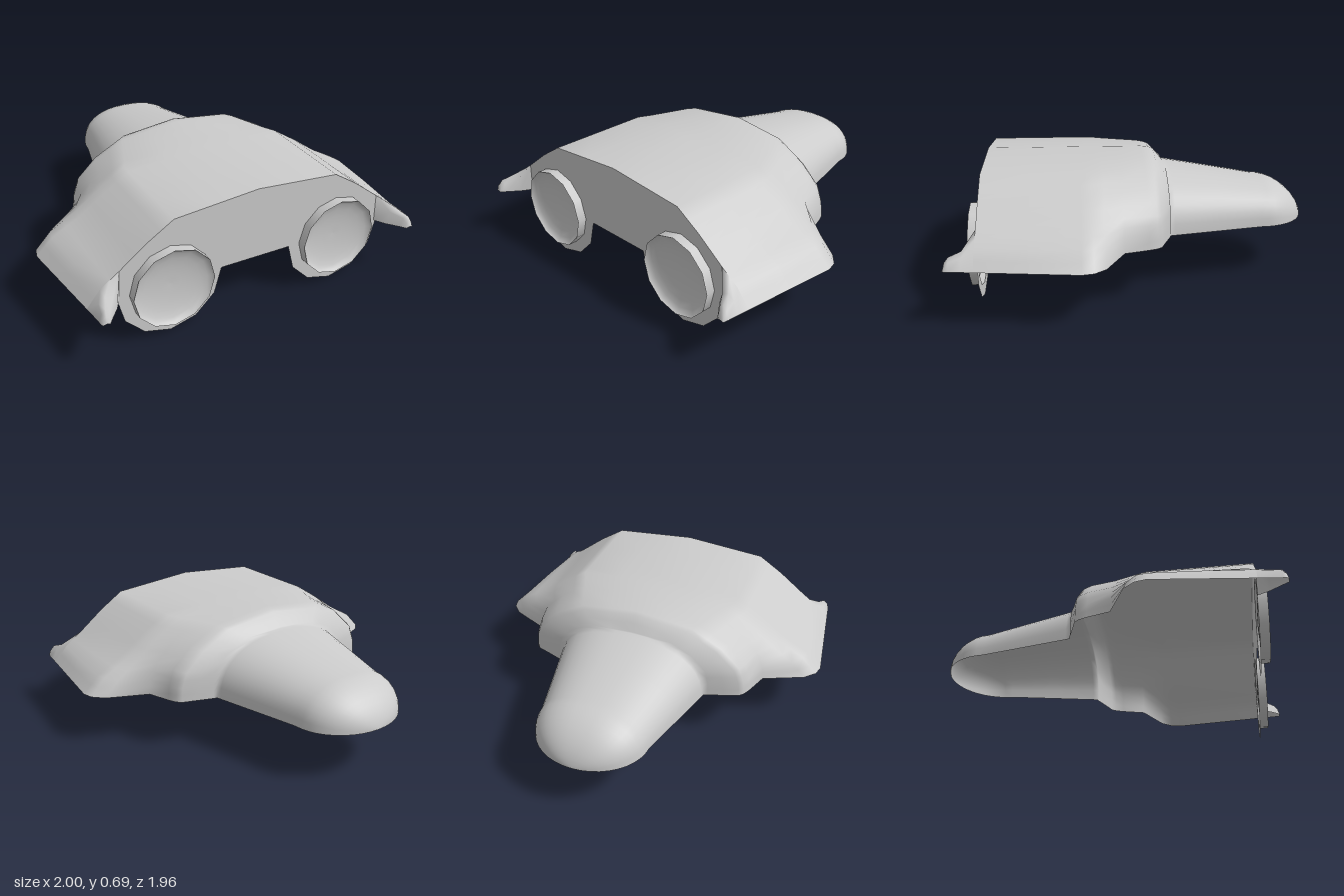
import * as THREE from 'three';

const BASE = 0.29; // height of the open bottom edge
const FACE = 0.83; // z of the flat end plate
const mat = new THREE.MeshStandardMaterial({ color: 0xcccccc, side: THREE.DoubleSide });

function mesh(name, geometry) {
  const m = new THREE.Mesh(geometry, mat);
  m.name = name;
  return m;
}

// Skin over cross-sections, each { z, pts: [[x, y], ...] } with equal counts
function loft(sections) {
  const n = sections[0].pts.length, pos = [], idx = [];
  for (const s of sections) for (const [x, y] of s.pts) pos.push(x, y, s.z);
  for (let i = 0; i < sections.length - 1; i++) {
    for (let j = 0; j < n - 1; j++) {
      const a = i * n + j, b = a + n;
      idx.push(a, a + 1, b, a + 1, b + 1, b);
    }
  }
  const g = new THREE.BufferGeometry();
  g.setAttribute('position', new THREE.Float32BufferAttribute(pos, 3));
  g.setIndex(idx);
  g.computeVertexNormals();
  return g;
}

// Half profile (centre to rim) mirrored to a full one, rim to rim, from +x to -x
const mirrored = (half) => [
  ...half.slice(1).reverse(),
  ...half.map(([x, y]) => [-x, y]),
];

// Rounded dome half profile of half-width w and height h, 11 points
function dome(w, h) {
  const half = [];
  for (let i = 0; i <= 10; i++) {
    const t = (i / 10) * Math.PI / 2;
    half.push([w * Math.sin(t) ** 0.85, BASE + h * Math.max(0, Math.cos(t)) ** 0.85]);
  }
  return half;
}

// Adds midpoints, turning 6 profile points into 11
function refine(half) {
  return half.flatMap((p, i) => {
    const q = half[i + 1];
    return q ? [p, [(p[0] + q[0]) / 2, (p[1] + q[1]) / 2]] : [p];
  });
}

// Domed nose flowing into the wide roofed body, open underneath
function createHull() {
  const sections = [];
  // rounded nose cap
  for (let i = 0; i <= 10; i++) {
    const a = 0.01 + (i / 10) * (Math.PI / 2 - 0.01);
    sections.push({
      z: -0.7 - 0.28 * Math.cos(a),
      pts: mirrored(dome(0.315 * Math.sin(a), 0.222 * Math.sin(a) ** 1.2)),
    });
  }
  // widening rear of the nose
  for (const [z, w, h] of [[-0.45, 0.374, 0.265], [-0.2, 0.434, 0.306], [-0.175, 0.44, 0.31]]) {
    sections.push({ z, pts: mirrored(dome(w, h)) });
  }
  // body
  const roof = [[0, 0.695], [0.47, 0.655]];
  const stations = [
    [-0.17, [[0, 0.605], [0.24, 0.59], [0.36, 0.53], [0.44, 0.45], [0.458, 0.37], [0.46, BASE]]],
    [-0.14, [[0, 0.645], [0.27, 0.615], [0.41, 0.54], [0.51, 0.45], [0.535, 0.37], [0.54, BASE]]],
    [-0.11, [[0, 0.68], [0.31, 0.642], [0.48, 0.55], [0.59, 0.45], [0.618, 0.37], [0.625, BASE]]],
    [-0.085, [[0, 0.69], [0.33, 0.65], [0.5, 0.56], [0.61, 0.455], [0.64, 0.37], [0.648, BASE]]],
    [-0.04, [[0, 0.695], [0.35, 0.655], [0.52, 0.565], [0.63, 0.46], [0.66, 0.37], [0.668, BASE]]],
    [0.09, [[0, 0.695], [0.4, 0.655], [0.55, 0.565], [0.66, 0.46], [0.7, 0.375], [0.71, BASE]]],
    [0.19, [[0, 0.695], [0.44, 0.655], [0.59, 0.565], [0.73, 0.455], [0.85, 0.37], [0.93, BASE]]],
    [0.25, [...roof, [0.61, 0.565], [0.75, 0.465], [0.9, 0.38], [0.985, BASE]]],
    [0.31, [...roof, [0.61, 0.565], [0.75, 0.465], [0.91, 0.38], [1, BASE]]],
    [0.57, [...roof, [0.61, 0.565], [0.755, 0.46], [0.89, 0.38], [0.966, BASE]]],
    [FACE, [...roof, [0.61, 0.565], [0.76, 0.45], [0.86, 0.38], [0.932, BASE]]],
  ];
  for (const [z, half] of stations) sections.push({ z, pts: mirrored(refine(half)) });
  return mesh('hullShell', loft(sections));
}

// Tapered tip that carries each side of the shell past the end plate
function createFinTip(side) {
  const stations = [
    [FACE, [[0.932, BASE], [0.86, 0.38], [0.81, 0.415], [0.76, 0.45], [0.765, BASE]]],
    [0.89, [[0.924, BASE], [0.895, 0.35], [0.86, 0.375], [0.82, 0.36], [0.8, BASE]]],
    [0.95, [[0.917, BASE], [0.906, 0.335], [0.885, 0.355], [0.862, 0.34], [0.85, BASE]]],
    [0.97, [[0.914, BASE], [0.906, 0.317], [0.89, 0.33], [0.873, 0.317], [0.865, BASE]]],
    [0.98, [[0.91, BASE], [0.902, 0.293], [0.89, 0.295], [0.88, 0.293], [0.873, BASE]]],
  ];
  const sections = stations.map(([z, pts]) => ({
    z,
    pts: side > 0 ? pts : pts.map(([x, y]) => [-x, y]).reverse(),
  }));
  return mesh(side > 0 ? 'leftFinTip' : 'rightFinTip', loft(sections));
}

const CX = 0.49, OUTER = 0.288, INNER = 0.222;

// Flat end plate with two half-round lobes and round openings
function createEndPlate() {
  const pts = mirrored([[0, 0.695], [0.47, 0.655], [0.61, 0.565], [0.76, 0.45]]);
  for (const cx of [-CX, CX]) {
    for (let i = 0; i <= 6; i++) {
      const a = Math.PI + (i * Math.PI) / 6;
      pts.push([cx + OUTER * Math.cos(a), BASE + OUTER * Math.sin(a)]);
    }
  }
  const shape = new THREE.Shape(pts.map(([x, y]) => new THREE.Vector2(x, y)));
  for (const cx of [-CX, CX]) {
    const ring = [];
    for (let i = 0; i < 12; i++) {
      const a = -(i * Math.PI) / 6;
      ring.push(new THREE.Vector2(cx + INNER * Math.cos(a), BASE + INNER * Math.sin(a)));
    }
    shape.holes.push(new THREE.Path(ring));
  }
  const m = mesh('endPlate', new THREE.ShapeGeometry(shape));
  m.position.z = FACE;
  return m;
}

// Short twelve-sided collar with a shallow hollow dish inside
function createNozzle(side) {
  const g = new THREE.Group();
  g.name = side > 0 ? 'leftNozzle' : 'rightNozzle';
  const length = 0.052;
  const collar = mesh('collar', new THREE.CylinderGeometry(INNER, INNER, length, 12, 1, true));
  collar.position.y = length / 2;
  const profile = [];
  for (let i = 0; i <= 6; i++) {
    const t = (i / 6) * Math.PI / 2;
    profile.push(new THREE.Vector2(INNER * Math.sin(t), length * (1 - Math.cos(t))));
  }
  g.add(collar, mesh('dish', new THREE.LatheGeometry(profile, 12)));
  g.rotation.x = Math.PI / 2;
  g.position.set(side * CX, BASE, FACE);
  return g;
}

export function createModel() {
  const model = new THREE.Group();
  model.name = 'wingedShell';
  model.add(createHull(), createEndPlate());
  for (const side of [1, -1]) model.add(createFinTip(side), createNozzle(side));
  return model;
}
